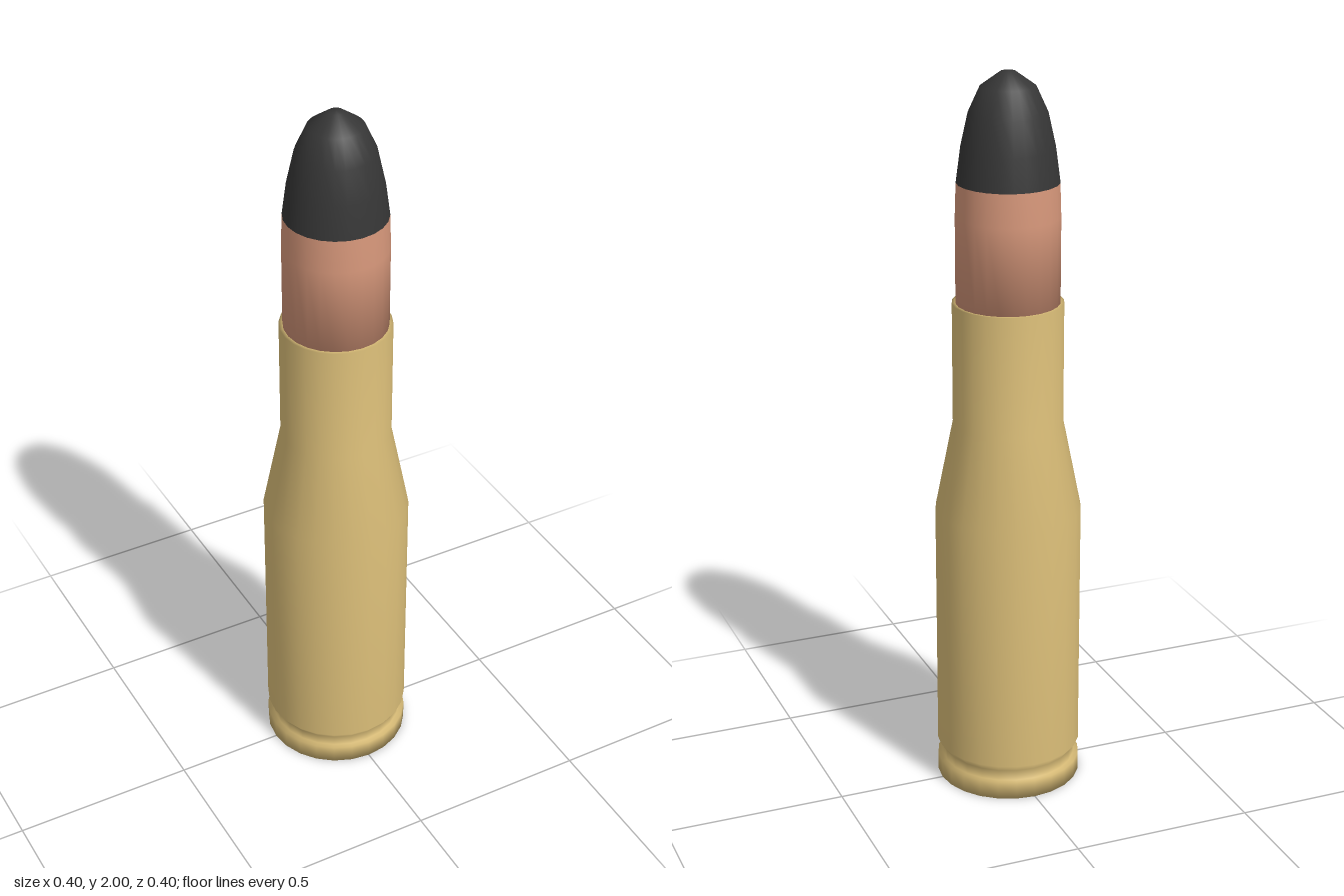
import * as THREE from 'three';

const SEGMENTS = 24;

// Turned part from [radius, height] pairs, listed bottom to top
function turned(name, profile, material) {
  const points = profile.map(([r, y]) => new THREE.Vector2(r, y));
  const mesh = new THREE.Mesh(new THREE.LatheGeometry(points, SEGMENTS), material);
  mesh.name = name;
  return mesh;
}

function paint(name, color) {
  const material = new THREE.MeshStandardMaterial({ color });
  material.name = name;
  return material;
}

export function createModel() {
  const group = new THREE.Group();
  group.name = 'cartridge';

  const brass = paint('brass', 0xdcbf79);
  const copper = paint('copper', 0xd9997c);
  const black = paint('black', 0x363636);

  // Case: base, rim, extractor groove, body, shoulder, neck and mouth
  group.add(turned('case', [
    [0, 0], [0.2, 0], [0.2, 0.05], [0.185, 0.05], [0.185, 0.08],
    [0.2, 0.1], [0.2, 0.8], [0.15, 1.05], [0.15, 1.385], [0.135, 1.385], [0, 1.385],
  ], brass));

  // Bullet jacket
  group.add(turned('jacket', [
    [0, 1.384], [0.14, 1.384], [0.14, 1.62], [0.137, 1.71],
  ], copper));

  // Painted tip
  group.add(turned('tip', [
    [0.137, 1.71], [0.125, 1.8], [0.105, 1.89], [0.073, 1.96], [0.02, 1.998], [0, 2],
  ], black));

  return group;
}
